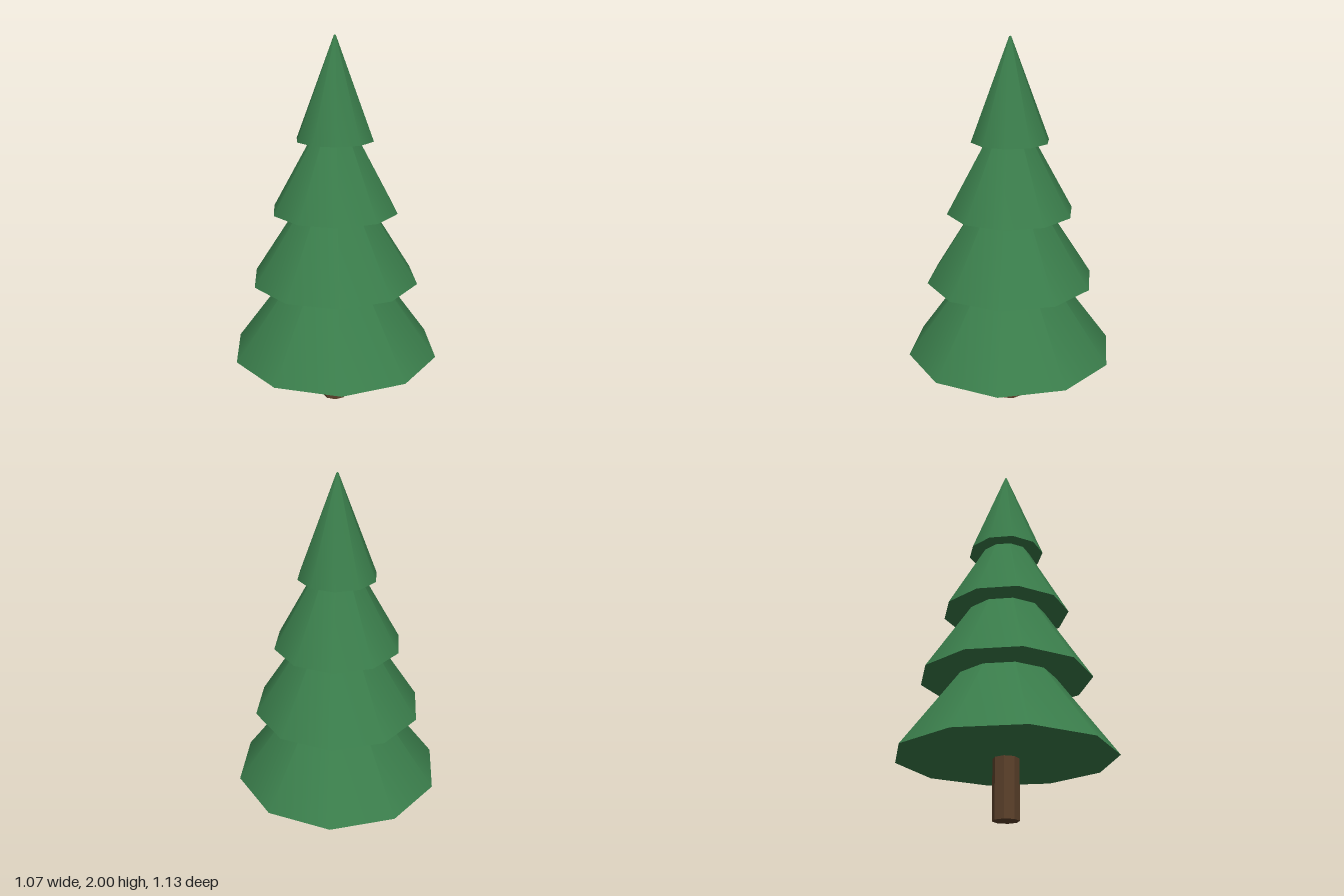
import * as THREE from 'three';

export function createModel() {
  const tree = new THREE.Group();
  tree.name = 'pineTree';

  const green = new THREE.MeshStandardMaterial({ color: 0x3a7d4b });
  green.name = 'needle green';
  const brown = new THREE.MeshStandardMaterial({ color: 0x5c412b });
  brown.name = 'bark brown';

  // Trunk: faceted octagonal post, reaching a little into the lowest tier
  const trunkHeight = 0.4;
  const trunkGeometry = new THREE.CylinderGeometry(0.068, 0.068, trunkHeight, 8).toNonIndexed();
  trunkGeometry.computeVertexNormals();
  const trunk = new THREE.Mesh(trunkGeometry, brown);
  trunk.name = 'trunk';
  trunk.position.y = trunkHeight / 2;
  tree.add(trunk);

  // Foliage: overlapping ten-sided cones, [base radius, base y, tip y]
  const tiers = [
    [0.565, 0.305, 1.07],
    [0.452, 0.72, 1.415],
    [0.338, 1.1, 1.7],
    [0.206, 1.475, 2.0],
  ];
  tiers.forEach(([radius, base, tip], i) => {
    const height = tip - base;
    const tier = new THREE.Mesh(new THREE.CylinderGeometry(0.005, radius, height, 10), green);
    tier.name = `foliageTier${i + 1}`;
    tier.position.y = base + height / 2;
    tree.add(tier);
  });

  return tree;
}
